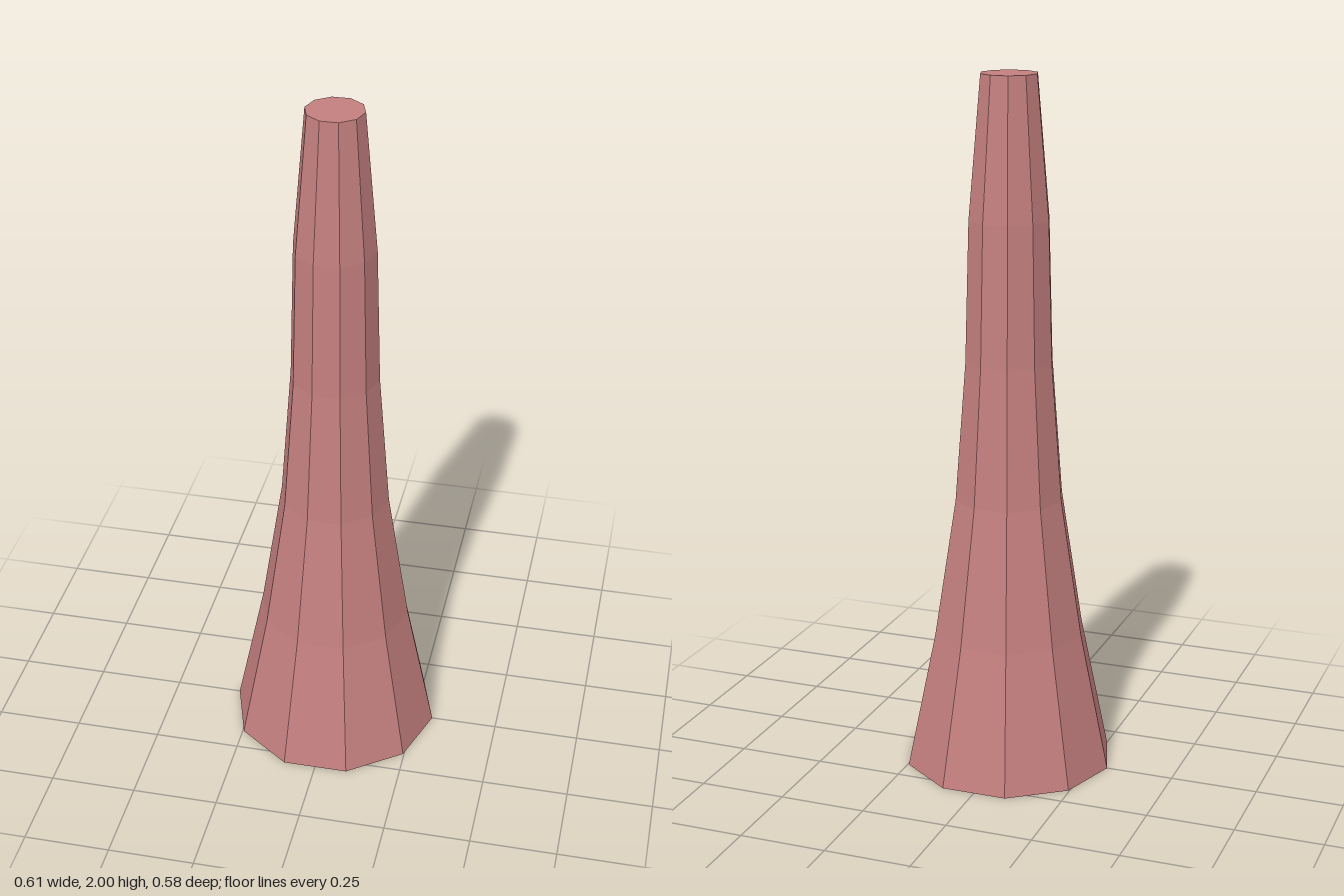
import * as THREE from 'three';

// Radius at evenly spaced heights, base to tip
const RADII = [0.305, 0.221, 0.158, 0.127, 0.116, 0.081];
const HEIGHT = 2;
const SIDES = 10;

export function createModel() {
  const group = new THREE.Group();
  group.name = 'taperedColumn';

  // Ten-sided closed column, with a corner on the +x axis
  const steps = RADII.length - 1;
  const column = new THREE.CylinderGeometry(1, 1, HEIGHT, SIDES, steps, false, Math.PI / 2);
  column.translate(0, HEIGHT / 2, 0);

  // Flare each ring to its radius
  const pos = column.attributes.position;
  for (let i = 0; i < pos.count; i++) {
    const r = RADII[Math.round((pos.getY(i) / HEIGHT) * steps)];
    pos.setX(i, pos.getX(i) * r);
    pos.setZ(i, pos.getZ(i) * r);
  }
  const geometry = column.toNonIndexed();
  geometry.computeVertexNormals();

  const material = new THREE.MeshStandardMaterial({ color: 0xc47f7f, flatShading: true });
  const mesh = new THREE.Mesh(geometry, material);
  mesh.name = 'flaredShaft';
  group.add(mesh);
  return group;
}
